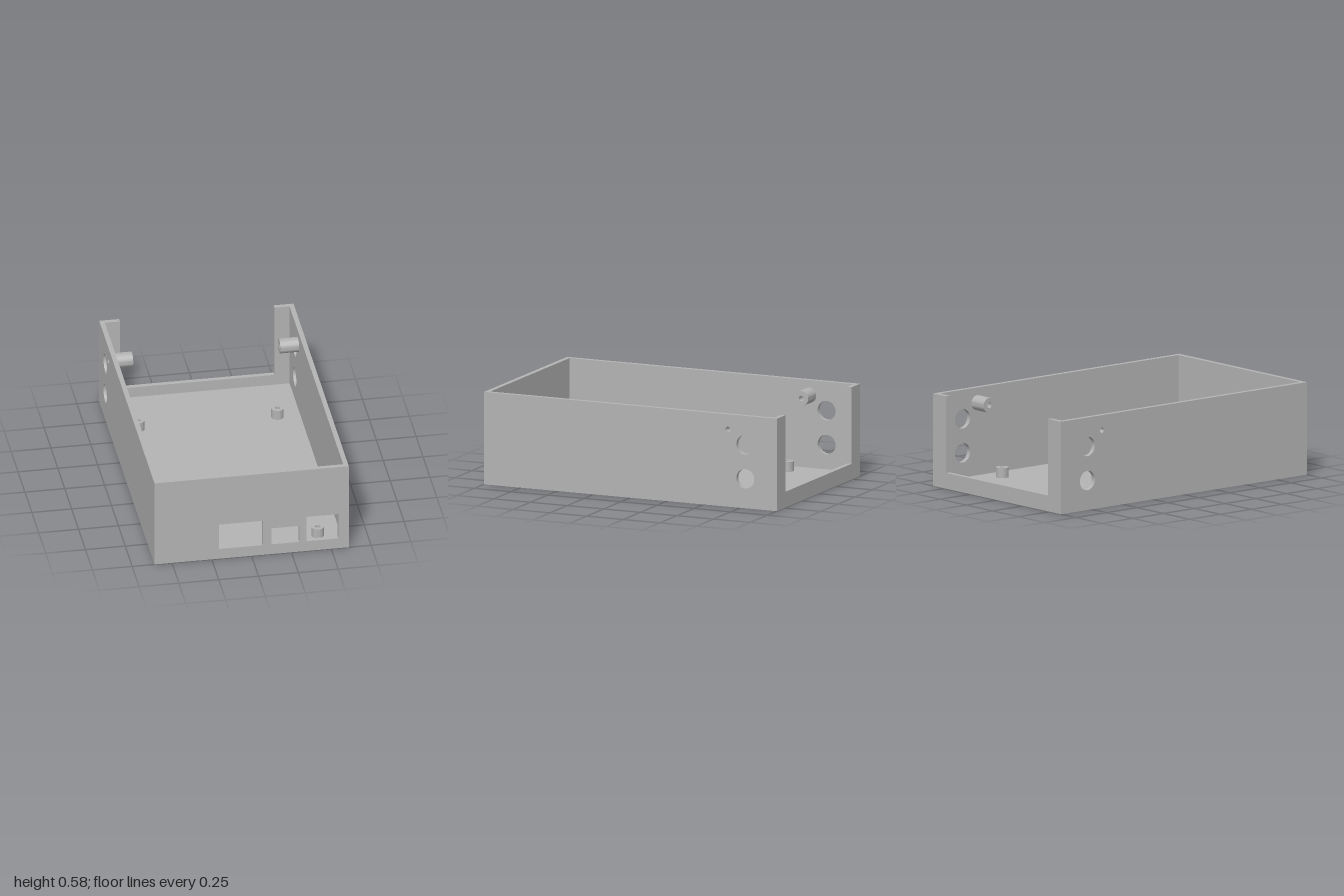
import * as THREE from 'three';
import { toCreasedNormals } from 'three/addons/utils/BufferGeometryUtils.js';

const W = 0.61, H = 0.583, L = 1, T = 0.03; // half width, height, half length, wall

const polygon = (points) => new THREE.Shape(points.map(([x, y]) => new THREE.Vector2(x, y)));
const rect = (x0, y0, x1, y1) => polygon([[x0, y0], [x1, y0], [x1, y1], [x0, y1]]);
const circle = (x, y, r) => new THREE.Shape().absarc(x, y, r, 0, Math.PI * 2, false);

function extrude(shape, depth, holes = []) {
  shape.holes.push(...holes);
  const geometry = new THREE.ExtrudeGeometry(shape, { depth, bevelEnabled: false, curveSegments: 32 });
  return toCreasedNormals(geometry, 0.5);
}

export function createModel() {
  const model = new THREE.Group();
  model.name = 'enclosureBase';
  const plastic = new THREE.MeshStandardMaterial({ color: 0xb3b3b3 });
  plastic.name = 'greyPlastic';

  const add = (name, geometry, x, y, z) => {
    const mesh = new THREE.Mesh(geometry, plastic);
    mesh.name = name;
    mesh.position.set(x, y, z);
    model.add(mesh);
  };

  const inner = W - T;

  // Floor between the walls
  const floor = new THREE.BoxGeometry(inner * 2, T, (L - T) * 2);
  add('floor', floor, 0, T / 2, 0);

  // Front wall with three connector openings
  const front = extrude(rect(-inner, 0, inner, H), T, [
    rect(-0.205, 0.07, 0.07, 0.245),
    rect(0.125, 0.07, 0.3, 0.185),
    rect(0.345, 0.07, 0.545, 0.245),
  ]);
  add('frontWall', front, 0, 0, L - T);

  // Back wall, cut away above a low sill
  const cut = 0.485, sill = 0.1;
  const back = extrude(polygon([
    [-inner, 0], [inner, 0], [inner, H], [cut, H],
    [cut, sill], [-cut, sill], [-cut, H], [-inner, H],
  ]), T);
  add('backWall', back, 0, 0, -L);

  // Side walls with two cable holes and a screw hole
  const bossZ = -0.667, bossY = 0.488, bossLength = 0.118;
  const side = extrude(rect(-L, 0, L, H), T, [
    circle(-0.785, 0.4, 0.061),
    circle(-0.785, 0.186, 0.061),
    circle(bossZ, bossY, 0.017),
  ]).rotateY(-Math.PI / 2);
  add('leftWall', side, W, 0, 0);
  add('rightWall', side, -inner, 0, 0);

  // Hollow screw bosses on the inside of the side walls
  const boss = extrude(circle(0, 0, 0.047), bossLength, [circle(0, 0, 0.017)]).rotateY(-Math.PI / 2);
  add('leftBoss', boss, inner, bossY, bossZ);
  add('rightBoss', boss, -inner + bossLength, bossY, bossZ);

  // Circuit board standoffs
  const standoff = extrude(circle(0, 0, 0.039), 0.063, [circle(0, 0, 0.016)]).rotateX(-Math.PI / 2);
  for (const x of [-0.437, 0.437]) {
    for (const z of [-0.585, 0.872]) add('standoff', standoff, x, T, z);
  }

  return model;
}
